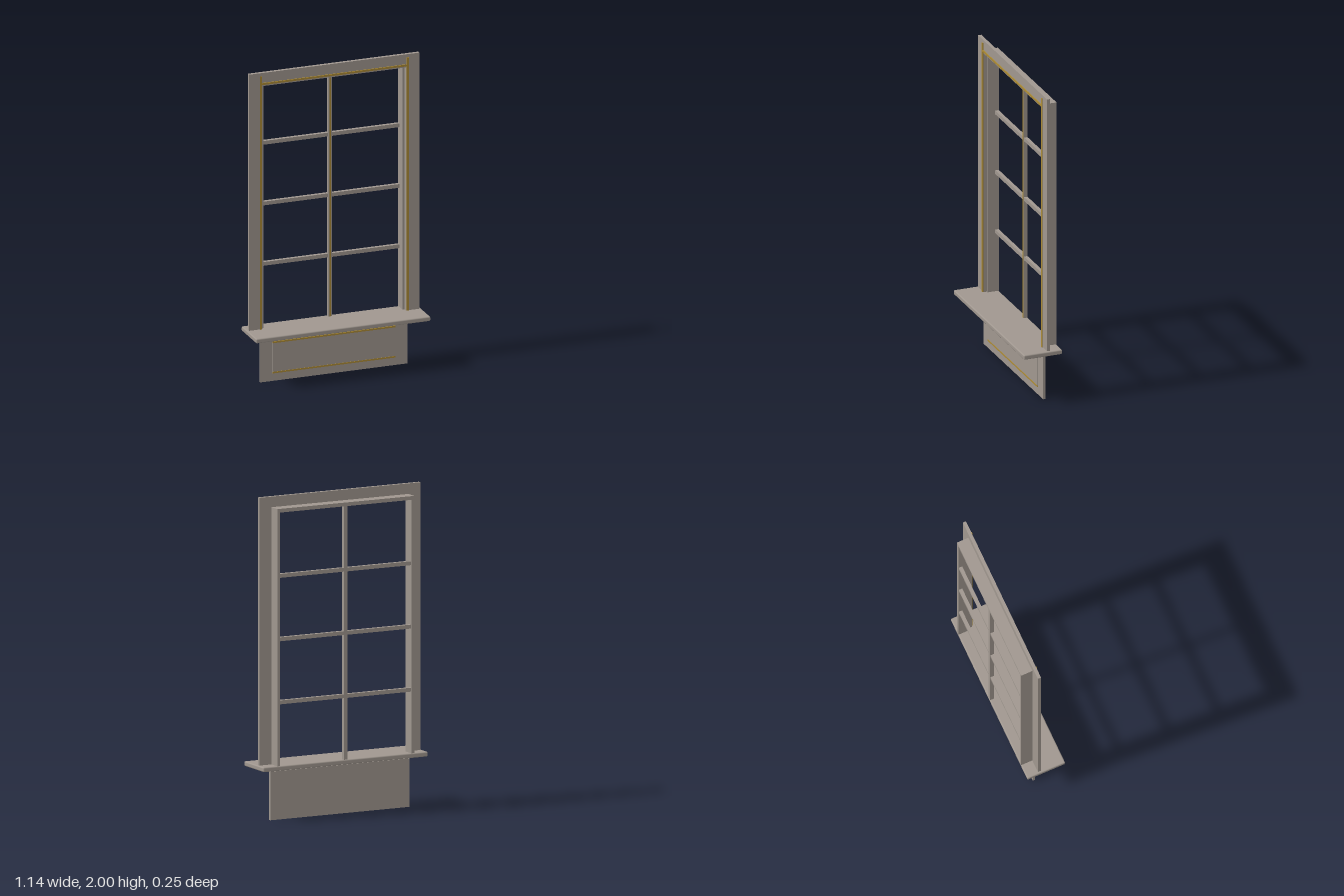
import * as THREE from 'three';
import { RoundedBoxGeometry } from 'three/addons/geometries/RoundedBoxGeometry.js';

export function createModel() {
  const model = new THREE.Group();
  model.name = 'window';

  const paint = new THREE.MeshStandardMaterial({ color: 0xa0978f });
  paint.name = 'taupe paint';
  const gold = new THREE.MeshStandardMaterial({ color: 0xab8a35 });
  gold.name = 'antique gold';

  const add = (name, geometry, material, x, y, z) => {
    const mesh = new THREE.Mesh(geometry, material);
    mesh.name = name;
    mesh.position.set(x, y, z);
    model.add(mesh);
  };
  // Box given by its minimum and maximum corners
  const box = (name, material, [x0, x1], [y0, y1], [z0, z1]) =>
    add(name, new THREE.BoxGeometry(x1 - x0, y1 - y0, z1 - z0), material,
      (x0 + x1) / 2, (y0 + y1) / 2, (z0 + z1) / 2);
  const mirrored = (s, a, b) => (s > 0 ? [a, b] : [-b, -a]);

  const sillTop = 0.345;
  const back = -0.126;
  const casingZ = [-0.051, -0.03];
  const beadZ = [-0.03, -0.024];
  const jambZ = [back, -0.051];

  // Sill with softened edges
  add('sill', new RoundedBoxGeometry(1.136, 0.03, 0.252, 2, 0.008), paint, 0, 0.33, 0);

  // Casing, jambs and their gold beads on both sides
  for (const s of [1, -1]) {
    const side = s > 0 ? 'left' : 'right';
    box(side + 'Casing', paint, mirrored(s, 0.466, 0.555), [sillTop, 1.915], casingZ);
    box(side + 'Jamb', paint, mirrored(s, 0.453, 0.473), [sillTop, 1.935], jambZ);
    box(side + 'Bead', gold, mirrored(s, 0.472, 0.485), [sillTop, 1.98], beadZ);
  }

  // Head of the frame
  box('headCasing', paint, [-0.555, 0.555], [1.915, 2], casingZ);
  box('headJamb', paint, [-0.453, 0.453], [1.912, 1.935], jambZ);
  box('headBead', gold, [-0.472, 0.472], [1.924, 1.936], beadZ);

  // Glazing bars near the back of the frame
  box('uprightBar', paint, [-0.012, 0.012], [sillTop, 1.912], [back + 0.002, -0.1]);
  box('uprightBarBead', gold, [-0.005, 0.005], [sillTop, 1.912], [-0.1, -0.097]);
  for (const y of [0.738, 1.128, 1.52])
    box('crossBar', paint, [-0.453, 0.453], [y - 0.012, y + 0.012], [back + 0.003, -0.101]);

  // Apron below the sill, with a thin raised panel edged in gold
  box('apron', paint, [-0.48, 0.48], [0, 0.3], [-0.051, -0.035]);
  box('apronPanel', paint, [-0.4, 0.4], [0.06, 0.245], [-0.035, -0.031]);
  for (const y of [0.055, 0.25])
    box('apronBead', gold, [-0.4, 0.4], [y - 0.005, y + 0.005], [-0.035, -0.029]);

  return model;
}
